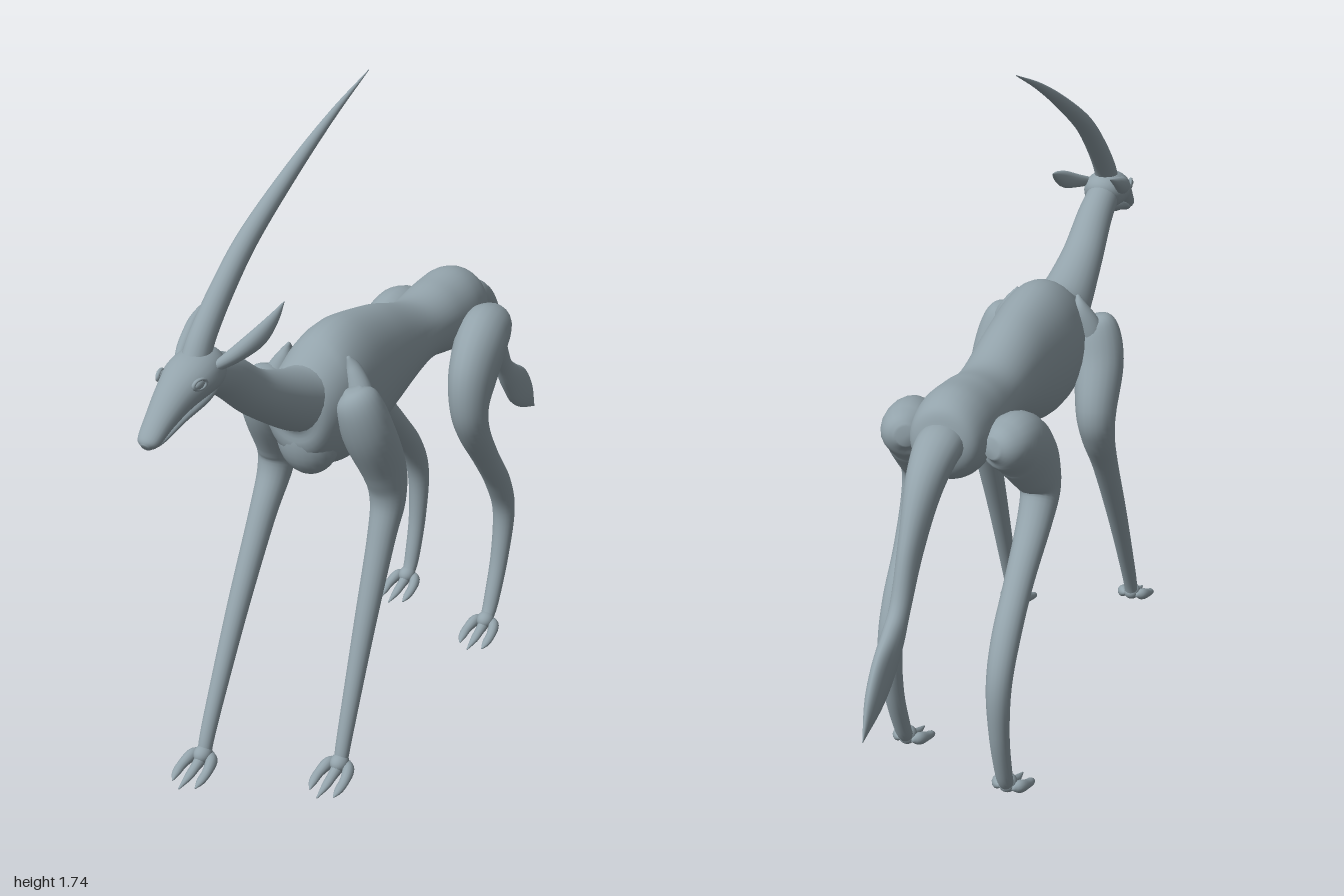
import * as THREE from 'three';

const hide = new THREE.MeshStandardMaterial({ color: 0x93a3ab });
hide.name = 'slate grey hide';

// Skin elliptical rings along a smooth path; each station is [x, y, z, halfWidth, halfDepth]
function loft(name, stations, rings = 40, sides = 20) {
  const path = new THREE.CatmullRomCurve3(
    stations.map(([x, y, z]) => new THREE.Vector3(x, y, z)), false, 'catmullrom', 0.5);
  const sizes = new THREE.CatmullRomCurve3(
    stations.map(([, , , w, d = w]) => new THREE.Vector3(w, d, 0)), false, 'catmullrom', 0.5);
  const pos = [], index = [];
  for (let i = 0; i <= rings; i++) {
    const t = i / rings, c = path.getPoint(t), r = sizes.getPoint(t), tan = path.getTangent(t);
    const side = new THREE.Vector3(1, 0, 0).addScaledVector(tan, -tan.x).normalize();
    const up = tan.clone().cross(side);
    for (let j = 0; j < sides; j++) {
      const a = (j / sides) * Math.PI * 2;
      const p = c.clone()
        .addScaledVector(side, Math.cos(a) * Math.max(r.x, 0.0005))
        .addScaledVector(up, Math.sin(a) * Math.max(r.y, 0.0005));
      pos.push(p.x, p.y, p.z);
    }
  }
  for (let i = 0; i < rings; i++) {
    for (let j = 0; j < sides; j++) {
      const k = (j + 1) % sides, a = i * sides + j, b = i * sides + k;
      index.push(a, b, a + sides, b, b + sides, a + sides);
    }
  }
  // close both ends
  const first = pos.length / 3, last = rings * sides;
  for (const t of [0, 1]) pos.push(...path.getPoint(t).toArray());
  for (let j = 0; j < sides; j++) {
    const k = (j + 1) % sides;
    index.push(first, k, j, first + 1, last + j, last + k);
  }
  const geo = new THREE.BufferGeometry();
  geo.setAttribute('position', new THREE.Float32BufferAttribute(pos, 3));
  geo.setIndex(index);
  geo.computeVertexNormals();
  const mesh = new THREE.Mesh(geo, hide);
  mesh.name = name;
  return mesh;
}

function ellipsoid(name, p, r) {
  const mesh = new THREE.Mesh(new THREE.SphereGeometry(1, 24, 16), hide);
  mesh.name = name;
  mesh.position.set(...p);
  mesh.scale.set(...r);
  return mesh;
}

// Three splayed, pointed toes under a round ankle
function foot(name, x, z) {
  const g = new THREE.Group();
  g.name = name;
  g.position.set(x, 0, z);
  g.add(ellipsoid('ankle', [0, 0.045, 0.005], [0.024, 0.024, 0.028]));
  for (const s of [-1, 0, 1]) {
    const reach = s ? 0.095 : 0.118;
    g.add(loft('toe', [
      [s * 0.016, 0.042, -0.012, 0.006],
      [s * 0.03, 0.036, 0.01, 0.015, 0.017],
      [s * 0.038, 0.024, 0.045, 0.013, 0.012],
      [s * 0.038, 0.014, 0.075, 0.011, 0.009],
      [s * 0.035, 0.004, reach, 0.002],
    ], 16, 12));
  }
  return g;
}

function frontLeg(name, s, lower) {
  const g = new THREE.Group();
  g.name = name;
  g.add(loft('frontLimb', [
    [s * 0.12, 1.03, 0.315, 0.02],
    [s * 0.13, 1.0, 0.31, 0.056, 0.056],
    [s * 0.146, 0.91, 0.283, 0.067, 0.066],
    [s * 0.158, 0.79, 0.225, 0.055, 0.062],
    ...lower.map(([y, z, r]) => [s * 0.163, y, z, r]),
  ], 60));
  // pointed shoulder blade above the limb
  g.add(loft('shoulderBlade', [
    [s * 0.14, 0.95, 0.29, 0.035, 0.04],
    [s * 0.118, 1.01, 0.275, 0.033, 0.032],
    [s * 0.098, 1.06, 0.268, 0.02, 0.022],
    [s * 0.085, 1.095, 0.275, 0.004],
  ], 20));
  g.add(foot('frontFoot', s * 0.163, lower.at(-1)[1]));
  return g;
}

function hindLeg(name, s, lower) {
  const g = new THREE.Group();
  g.name = name;
  g.add(loft('hindLimb', [
    [s * 0.11, 0.955, -0.455, 0.025],
    [s * 0.125, 0.95, -0.42, 0.062, 0.06],
    [s * 0.14, 0.925, -0.345, 0.07, 0.085],
    [s * 0.152, 0.85, -0.27, 0.062, 0.085],
    [s * 0.16, 0.77, -0.24, 0.052, 0.06],
    ...lower.map(([y, z, r]) => [s * 0.163, y, z, r]),
  ], 70));
  g.add(foot('hindFoot', s * 0.163, lower.at(-1)[1]));
  return g;
}

export function createModel() {
  const model = new THREE.Group();
  model.name = 'hornedRunner';

  // Trunk, chest and neck
  model.add(loft('body', [
    [0, 0.97, 0.41, 0.03, 0.03],
    [0, 0.97, 0.38, 0.09, 0.1],
    [0, 0.957, 0.29, 0.115, 0.165],
    [0, 0.96, 0.17, 0.118, 0.188],
    [0, 0.97, 0.0, 0.102, 0.15],
    [0, 0.973, -0.19, 0.09, 0.091],
    [0, 0.973, -0.32, 0.098, 0.104],
    [0, 0.968, -0.42, 0.1, 0.116],
    [0, 0.96, -0.49, 0.083, 0.088],
    [0, 0.96, -0.523, 0.02, 0.02],
  ], 64, 32));
  model.add(ellipsoid('breast', [0, 0.885, 0.325], [0.085, 0.105, 0.07]));
  model.add(loft('neck', [
    [0, 0.98, 0.28, 0.09, 0.1],
    [0, 1.01, 0.4, 0.078, 0.078],
    [0, 1.09, 0.56, 0.06, 0.058],
    [0, 1.18, 0.68, 0.05, 0.052],
    [0, 1.225, 0.77, 0.045, 0.048],
  ], 36, 24));

  // Head
  const head = new THREE.Group();
  head.name = 'head';
  head.add(loft('skull', [
    [0, 1.222, 0.725, 0.02],
    [0, 1.232, 0.755, 0.055, 0.05],
    [0, 1.23, 0.815, 0.064, 0.053],
    [0, 1.205, 0.88, 0.049, 0.043],
    [0, 1.17, 0.94, 0.036, 0.03],
    [0, 1.138, 0.985, 0.027, 0.02],
    [0, 1.128, 0.998, 0.01],
  ], 40, 24));
  head.add(loft('lowerJaw', [
    [0, 1.2, 0.745, 0.035, 0.022],
    [0, 1.182, 0.81, 0.045, 0.022],
    [0, 1.158, 0.89, 0.034, 0.016],
    [0, 1.132, 0.96, 0.024, 0.011],
    [0, 1.123, 0.988, 0.008, 0.006],
  ], 28));
  for (const s of [-1, 1]) {
    head.add(ellipsoid('eye', [s * 0.051, 1.237, 0.858], [0.009, 0.011, 0.018]));
    const lid = new THREE.Mesh(new THREE.TorusGeometry(0.018, 0.005, 8, 24), hide);
    lid.name = 'eyelid';
    lid.position.set(s * 0.053, 1.237, 0.858);
    lid.rotation.y = s * Math.PI / 2 - s * 0.25;
    lid.scale.y = 0.65;
    head.add(lid);
    head.add(loft('ear', [
      [s * 0.045, 1.25, 0.8, 0.01],
      [s * 0.066, 1.265, 0.74, 0.018, 0.018],
      [s * 0.084, 1.287, 0.67, 0.019, 0.024],
      [s * 0.088, 1.312, 0.61, 0.012, 0.015],
      [s * 0.083, 1.335, 0.555, 0.001],
    ], 24, 16));
  }
  model.add(head);

  // Single swept horn
  model.add(loft('horn', [
    [0, 1.255, 0.8, 0.034, 0.036],
    [0, 1.31, 0.765, 0.031, 0.032],
    [0, 1.395, 0.68, 0.028, 0.029],
    [0, 1.485, 0.565, 0.025, 0.025],
    [0, 1.59, 0.375, 0.018, 0.018],
    [0, 1.675, 0.195, 0.01, 0.01],
    [0, 1.742, 0.025, 0.001],
  ], 50));

  // Tail with a flattened tuft
  model.add(loft('tail', [
    [0, 0.97, -0.46, 0.06, 0.05],
    [0, 0.965, -0.53, 0.058, 0.052],
    [0, 0.905, -0.615, 0.045, 0.052],
    [0, 0.79, -0.695, 0.03, 0.045],
    [0, 0.67, -0.765, 0.025, 0.03],
    [0, 0.61, -0.815, 0.026, 0.042],
    [0, 0.555, -0.875, 0.023, 0.057],
    [0, 0.5, -0.935, 0.017, 0.042],
    [0, 0.437, -0.999, 0.001],
  ], 60));

  // Legs in mid stride: lower stations are [y, z, radius]
  model.add(frontLeg('leftFrontLeg', 1, [
    [0.7, 0.212, 0.047], [0.6, 0.245, 0.037], [0.4, 0.325, 0.029],
    [0.2, 0.4, 0.023], [0.09, 0.44, 0.02], [0.04, 0.455, 0.018]]));
  model.add(frontLeg('rightFrontLeg', -1, [
    [0.71, 0.232, 0.046], [0.6, 0.3, 0.036], [0.4, 0.418, 0.029],
    [0.2, 0.525, 0.023], [0.09, 0.58, 0.02], [0.04, 0.598, 0.018]]));
  model.add(hindLeg('leftHindLeg', 1, [
    [0.69, -0.262, 0.045], [0.58, -0.34, 0.037], [0.47, -0.42, 0.036], [0.36, -0.465, 0.032],
    [0.22, -0.447, 0.026], [0.09, -0.4, 0.022], [0.04, -0.37, 0.018]]));
  model.add(hindLeg('rightHindLeg', -1, [
    [0.7, -0.285, 0.045], [0.58, -0.405, 0.037], [0.47, -0.5, 0.036], [0.36, -0.55, 0.032],
    [0.22, -0.547, 0.026], [0.09, -0.515, 0.022], [0.04, -0.49, 0.018]]));

  return model;
}
